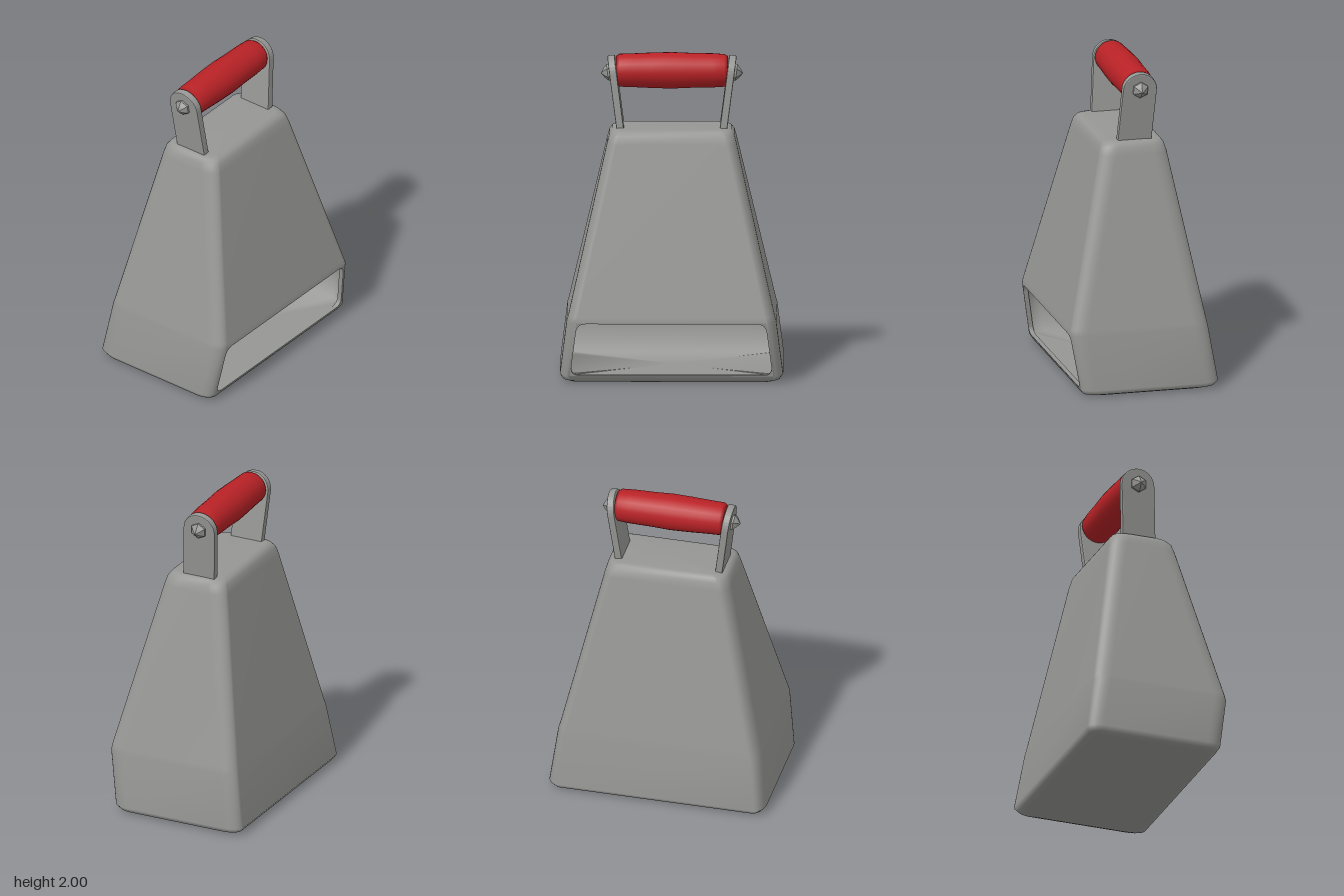
import * as THREE from 'three';

const metal = new THREE.MeshStandardMaterial({ color: 0x969694 });
metal.name = 'grey metal';
const red = new THREE.MeshStandardMaterial({ color: 0xb92226 });
red.name = 'red grip';

const RX = 0.1, RZ = 0.06, WALL = 0.03;

// Lofts rounded rectangles [y, xMin, xMax, halfZ]; the +x strip of one row is left open
function shell(rows, inset, openRow, inward) {
  const pos = [], idx = [], arc = 6, n = 4 * (arc + 1);
  const rx = RX - inset, rz = RZ - inset;
  for (const [y, x0, x1, hz] of rows) {
    for (let k = 0; k < 4; k++) {
      const cx = k === 0 || k === 3 ? x1 - RX : x0 + RX;
      const cz = k < 2 ? hz - RZ : RZ - hz;
      for (let s = 0; s <= arc; s++) {
        const a = (k + s / arc) * Math.PI / 2;
        pos.push(cx + rx * Math.cos(a), y, cz + rz * Math.sin(a));
      }
    }
  }
  const tri = (a, b, c) => (inward ? idx.push(a, c, b) : idx.push(a, b, c));
  for (let i = 0; i < rows.length - 1; i++) {
    for (let j = 0; j < n; j++) {
      if (i === openRow && j === n - 1) continue;
      const a = i * n + j, c = i * n + (j + 1) % n;
      tri(a, a + n, c);
      tri(c, a + n, c + n);
    }
  }
  // Closed floor and ceiling
  const last = rows.length - 1;
  for (const i of [0, last]) {
    const centre = pos.length / 3;
    pos.push((rows[i][1] + rows[i][2]) / 2, rows[i][0], 0);
    for (let j = 0; j < n; j++) {
      const p = i * n + j, q = i * n + (j + 1) % n;
      if (i === last) tri(centre, q, p);
      else tri(centre, p, q);
    }
  }
  const g = new THREE.BufferGeometry();
  g.setAttribute('position', new THREE.Float32BufferAttribute(pos, 3));
  g.setIndex(idx);
  g.computeVertexNormals();
  return g;
}

// Closed path through corner points with rounded corners
function roundedPath(path, pts, r) {
  const v = pts.map(p => new THREE.Vector2(...p));
  v.forEach((p, i) => {
    const prev = v[(i + v.length - 1) % v.length], next = v[(i + 1) % v.length];
    const a = p.clone().add(prev.clone().sub(p).setLength(r));
    const b = p.clone().add(next.clone().sub(p).setLength(r));
    if (i) path.lineTo(a.x, a.y);
    else path.moveTo(a.x, a.y);
    path.quadraticCurveTo(p.x, p.y, b.x, b.y);
  });
  path.closePath();
  return path;
}

function add(parent, name, geometry, material) {
  const m = new THREE.Mesh(geometry, material);
  m.name = name;
  parent.add(m);
  return m;
}

export function createModel() {
  const model = new THREE.Group();
  model.name = 'bell';
  model.rotation.y = -0.235;

  // Tapered body
  const low = [0.045, -0.465, 0.412, 0.69], high = [0.385, -0.412, 0.467, 0.648];
  const outer = [
    [0, -0.405, 0.36, 0.635],
    [0.014, -0.443, 0.393, 0.67],
    low, high,
    [0.42, -0.405, 0.463, 0.638],
    [1.46, -0.212, 0.222, 0.4],
    [1.51, -0.198, 0.207, 0.386],
    [1.535, -0.18, 0.188, 0.367],
    [1.545, -0.15, 0.158, 0.337],
  ];
  add(model, 'body', shell(outer, 0, 2, false), metal);

  // Hollow inside
  const inner = [low, high, [1.5, -0.2, 0.21, 0.388]];
  const insideRows = inner.map(([y, a, b, z]) => [y, a, b, z]);
  const inside = shell(insideRows, WALL, 0, true);
  add(model, 'inside', inside, metal);

  // Frame of the mouth, bent onto the sloping lower side
  const zl = low[3] - RZ, zh = high[3] - RZ;
  const frame = new THREE.Shape();
  frame.moveTo(-zl, low[0]);
  frame.lineTo(zl, low[0]);
  frame.lineTo(zh, high[0]);
  frame.lineTo(-zh, high[0]);
  const e = 0.005;
  frame.holes.push(roundedPath(new THREE.Path(), [
    [-zl + e, low[0] + e], [-zh + e, high[0] - e], [zh - e, high[0] - e], [zl - e, low[0] + e],
  ], 0.055));
  const rim = new THREE.ExtrudeGeometry(frame, { depth: WALL, bevelEnabled: false, curveSegments: 6 });
  const p = rim.attributes.position;
  for (let i = 0; i < p.count; i++) {
    const z = p.getX(i), y = p.getY(i), d = p.getZ(i);
    const t = (y - low[0]) / (high[0] - low[0]);
    p.setXYZ(i, low[2] + t * (high[2] - low[2]) - d, y, z);
  }
  rim.computeVertexNormals();
  add(model, 'mouthFrame', rim, metal);

  // Straps leaning outward, each with a pointed rivet
  const strapShape = new THREE.Shape();
  strapShape.moveTo(-0.108, -0.03);
  strapShape.lineTo(0.108, -0.03);
  strapShape.lineTo(0.108, 0.33);
  strapShape.absarc(0, 0.33, 0.108, 0, Math.PI, false);
  const strapGeo = new THREE.ExtrudeGeometry(strapShape, {
    depth: 0.03, bevelThickness: 0.008, bevelSize: 0.006, bevelOffset: -0.006, bevelSegments: 2, curveSegments: 8,
  });
  strapGeo.translate(0, 0, -0.015);
  const rivetGeo = new THREE.LatheGeometry(
    [[0.052, 0], [0.052, 0.015], [0.03, 0.036], [0, 0.056]].map(q => new THREE.Vector2(...q)), 6,
  ).toNonIndexed();
  rivetGeo.computeVertexNormals();
  for (const s of [1, -1]) {
    const side = new THREE.Group();
    side.name = s > 0 ? 'frontStrap' : 'backStrap';
    side.position.set(-0.01, 1.545, 0.32 * s);
    side.rotation.set(0.13 * s, 0, 0.07);
    add(side, 'strap', strapGeo, metal);
    const rivet = add(side, 'rivet', rivetGeo, metal);
    rivet.position.set(0, 0.335, 0.02 * s);
    rivet.rotation.x = s * Math.PI / 2;
    model.add(side);
  }

  // Slightly uneven padded grip
  const profile = [[0, -0.345], [0.088, -0.345], [0.101, -0.325], [0.106, -0.25], [0.108, -0.12],
    [0.113, 0], [0.11, 0.12], [0.105, 0.23], [0.102, 0.325], [0.088, 0.345], [0, 0.345]];
  const grip = add(model, 'grip', new THREE.LatheGeometry(profile.map(q => new THREE.Vector2(...q)), 24), red);
  grip.rotation.x = Math.PI / 2;
  grip.position.set(-0.032, 1.885, 0);

  const root = new THREE.Group();
  root.name = 'handBell';
  root.add(model);
  return root;
}
